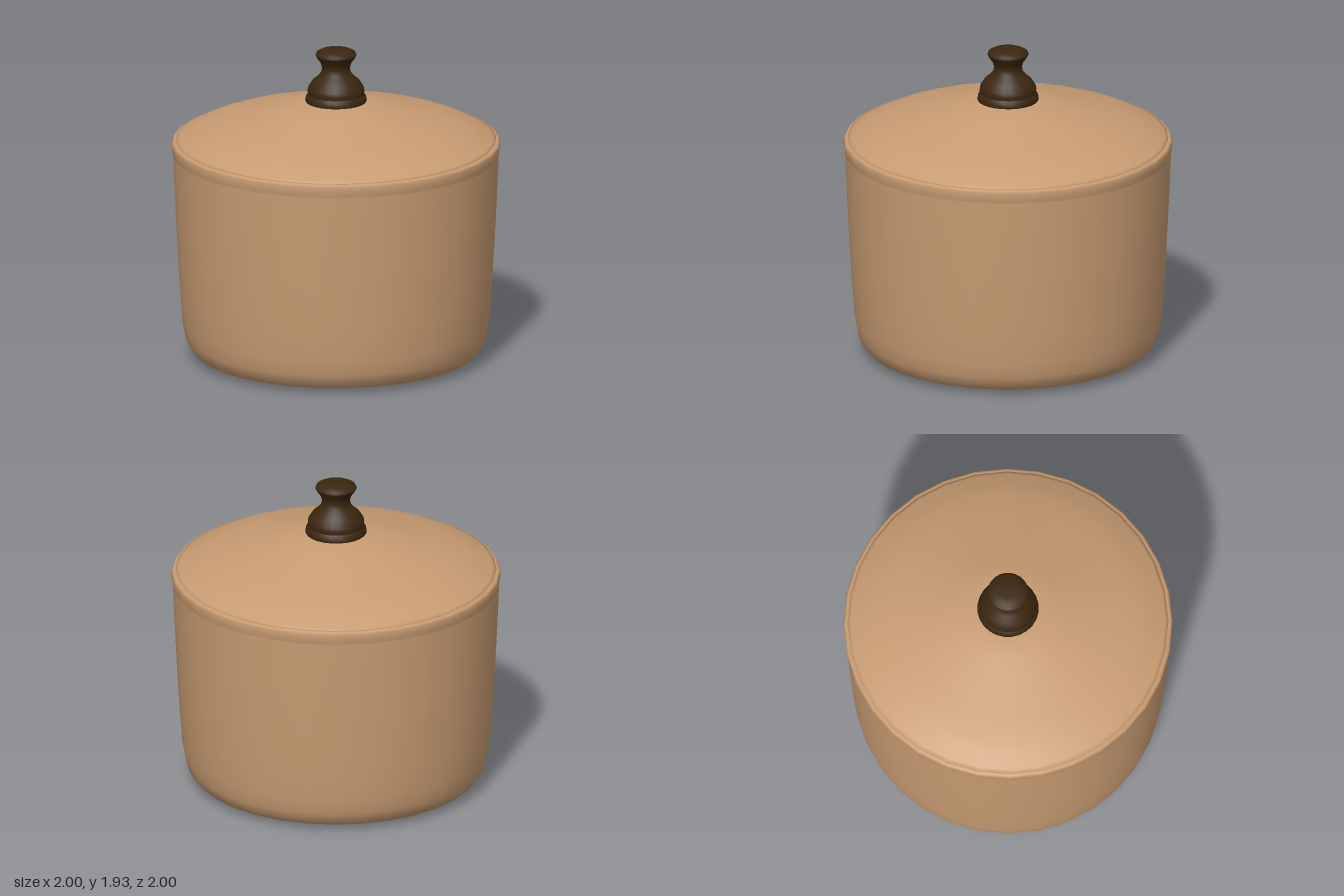
import * as THREE from 'three';

export function createModel() {
  const group = new THREE.Group();
  const clay = new THREE.MeshStandardMaterial({ color: 0xc89c72 });
  clay.name = 'tan clay';
  const wood = new THREE.MeshStandardMaterial({ color: 0x3b2610 });
  wood.name = 'dark wood';

  // Turned part from [radius, height] pairs, listed from bottom to top
  const turn = (name, material, profile, sides = 32) => {
    const points = profile.map(([r, y]) => new THREE.Vector2(r, y));
    const mesh = new THREE.Mesh(new THREE.LatheGeometry(points, sides), material);
    mesh.name = name;
    group.add(mesh);
  };

  // Slightly bulging underside
  turn('potBottom', clay, [[0, 0.004], [0.4, 0.01], [0.79, 0.02]]);

  // Tapered wall with a rounded foot
  turn('potWall', clay, [
    [0.79, 0.02], [0.86, 0.04], [0.895, 0.08], [0.915, 0.13], [0.933, 0.22],
    [0.947, 0.4], [0.96, 0.6], [0.973, 0.85], [0.984, 1.08], [0.992, 1.28],
  ]);

  // Rim band with a rounded top lip running in under the lid
  turn('potRim', clay, [
    [0.992, 1.28], [0.998, 1.31], [1, 1.345], [0.992, 1.358], [0.975, 1.362], [0.95, 1.355],
  ]);

  // Domed lid
  turn('lid', clay, [
    [0.965, 1.355], [0.975, 1.366], [0.955, 1.375], [0.88, 1.414], [0.8, 1.446],
    [0.68, 1.482], [0.5, 1.528], [0.33, 1.576], [0.2, 1.607], [0, 1.612],
  ]);

  // Turned knob: collar, bulb, neck and cap
  turn('knobCollar', wood, [
    [0.18, 1.6], [0.187, 1.615], [0.183, 1.64], [0.17, 1.655],
  ], 24);
  turn('knobBody', wood, [
    [0.17, 1.65], [0.173, 1.675], [0.168, 1.7], [0.145, 1.735], [0.11, 1.765],
    [0.09, 1.79], [0.085, 1.82], [0.092, 1.85], [0.118, 1.885], [0.125, 1.9],
  ], 24);
  turn('knobCap', wood, [
    [0.125, 1.9], [0.12, 1.915], [0.09, 1.93], [0.05, 1.936], [0, 1.937],
  ], 24);

  return group;
}
